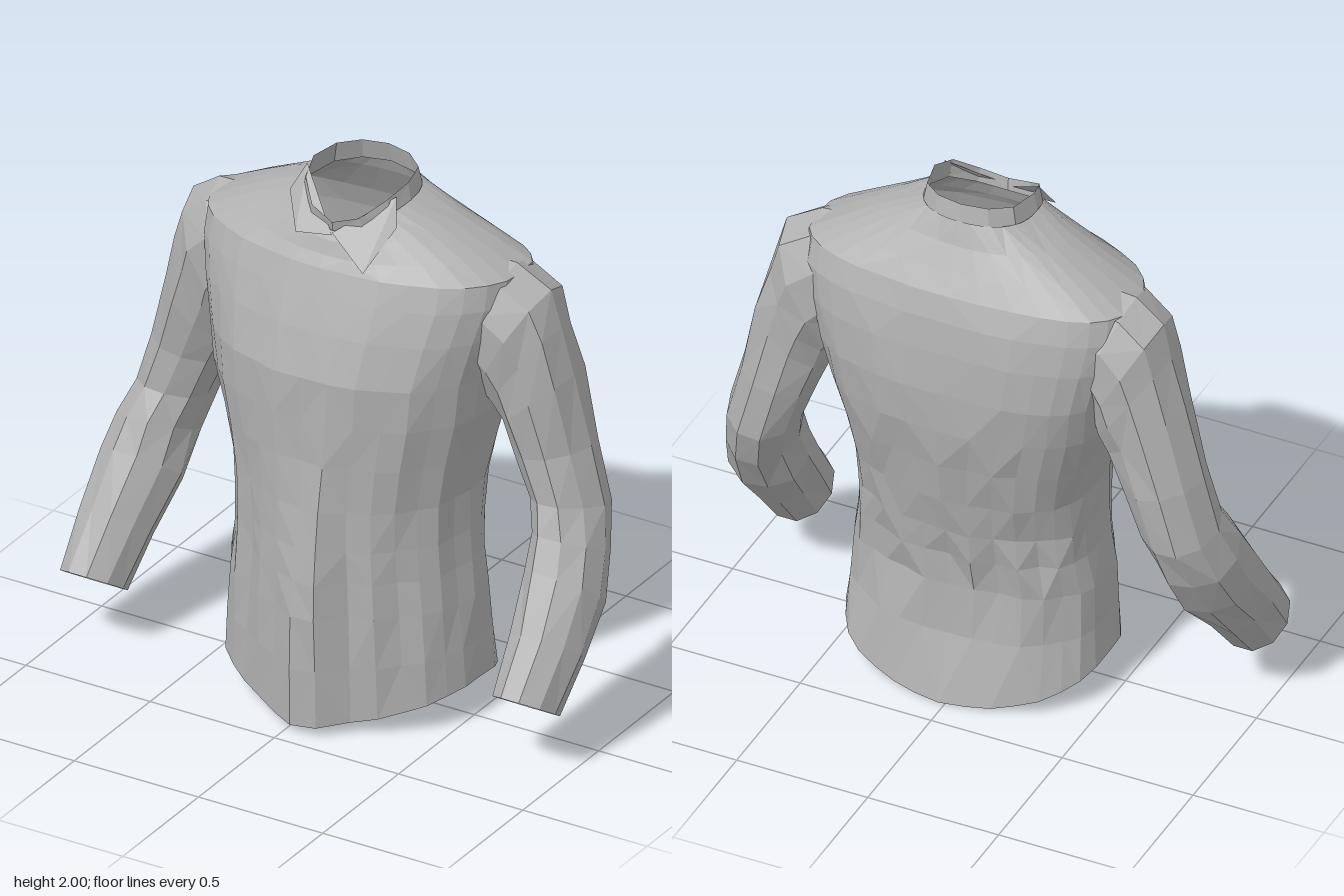
import * as THREE from 'three';

// Small repeatable wobble for crumpled cloth, in -1..1
function wobble(i, j) {
  const s = Math.sin(i * 127.1 + j * 311.7) * 43758.5453;
  return (s - Math.floor(s)) * 2 - 1;
}

// Skin a list of closed rings (each an array of [x, y, z])
function loft(rings, flip) {
  const n = rings[0].length, index = [];
  for (let i = 0; i < rings.length - 1; i++) {
    for (let j = 0; j < n; j++) {
      const a = i * n + j, b = i * n + (j + 1) % n, c = b + n, d = a + n;
      const tris = wobble(i, j) > 0 ? [[a, d, c], [a, c, b]] : [[a, d, b], [d, c, b]];
      for (const t of tris) index.push(...(flip ? t.reverse() : t));
    }
  }
  return facet(rings.flat(), index);
}

function facet(points, index) {
  const g = new THREE.BufferGeometry();
  g.setAttribute('position', new THREE.Float32BufferAttribute(points.flat(), 3));
  g.setIndex(index);
  const flat = g.toNonIndexed();
  flat.computeVertexNormals();
  return flat;
}

// Body ring: right and left x, front and back z, side seam z, fullness of the curve, front and back drop in y
function bodyRing(n, [y, xr, xl, zf, zb, zs, full, dropF = 0, dropB = 0], row, crease = 0) {
  const ring = [];
  for (let j = 0; j < n; j++) {
    const a = (j / n) * Math.PI * 2, s = Math.sin(a), c = Math.cos(a), front = s > 0, m = Math.abs(s);
    const across = front ? c : Math.sign(c) * Math.pow(Math.abs(c), 1 - 0.15 * full);
    let x = (xl + xr) / 2 + across * (xl - xr) / 2;
    let z = zs + (front ? (zf - zs) * Math.pow(m, 1 - 0.22 * full) : (zb - zs) * Math.pow(m, 0.75 - 0.25 * full));
    const yy = y - (front ? dropF * Math.pow(m, 2) : dropB * Math.pow(m, 1.5));
    // Button panel pushes forward towards the hem
    if (front) {
      const panel = THREE.MathUtils.clamp(Math.min((x + 0.14) / 0.12, (0.22 - x) / 0.09), 0, 1);
      z += panel * 0.07 * THREE.MathUtils.clamp((1 - y) / 0.5, 0, 1);
    }
    // Long pleats in front, crumples behind
    const fold = crease * (front ? Math.sin(a * 13 + y * 3) : wobble(row, j));
    z += fold * s;
    x += fold * c * 0.5;
    ring.push([x, yy, z]);
  }
  return ring;
}

export function createModel() {
  const model = new THREE.Group();
  const cloth = new THREE.MeshStandardMaterial({ color: 0xb0b0b0, side: THREE.DoubleSide, flatShading: true });
  cloth.name = 'grey cloth';
  const add = (name, geometry) => {
    const mesh = new THREE.Mesh(geometry, cloth);
    mesh.name = name;
    model.add(mesh);
  };

  // Torso from curved hem to neckline
  const body = [
    [0.14, -0.46, 0.51, 0.365, -0.39, -0.02, 0.1, 0.11, 0.14],
    [0.28, -0.45, 0.50, 0.365, -0.335, -0.02, 0.1, 0.03, 0.03],
    [0.45, -0.44, 0.485, 0.36, -0.31, -0.02, 0.1],
    [0.58, -0.425, 0.47, 0.36, -0.325, -0.03, 0.1],
    [0.70, -0.42, 0.46, 0.36, -0.345, -0.03, 0.1],
    [0.85, -0.425, 0.46, 0.36, -0.375, -0.04, 0.2],
    [1.02, -0.46, 0.49, 0.36, -0.41, -0.05, 0.4],
    [1.18, -0.51, 0.53, 0.355, -0.43, -0.07, 0.7],
    [1.34, -0.53, 0.55, 0.35, -0.434, -0.09, 1],
    [1.50, -0.57, 0.59, 0.30, -0.42, -0.1, 1],
    [1.62, -0.60, 0.62, 0.255, -0.395, -0.11, 0.8],
    [1.71, -0.60, 0.62, 0.22, -0.365, -0.11, 0.5],
    [1.78, -0.47, 0.50, 0.195, -0.32, -0.1, 0.3, 0.03],
    [1.86, -0.31, 0.35, 0.175, -0.27, -0.08, 0.1, 0.06],
    [1.92, -0.18, 0.225, 0.155, -0.235, -0.03, 0, 0.09, -0.02],
  ];
  const creases = [0.006, 0.012, 0.018, 0.018, 0.014, 0.014, 0.012, 0.01, 0.006, 0.005, 0.004, 0.003, 0, 0, 0];
  add('torso', loft(body.map((r, i) => bodyRing(32, r, i, creases[i]))));

  // Standing collar band, low at the throat
  const band = [
    [1.90, -0.185, 0.23, 0.15, -0.237, -0.03, 0, 0.08, -0.02],
    [1.985, -0.165, 0.215, 0.16, -0.215, -0.03, 0, 0.12, -0.015],
  ];
  add('collarBand', loft(band.map((r, i) => bodyRing(12, r, i))));

  // Collar flaps folded down beside the throat
  add('leftCollarFlap', facet(
    [[0.21, 1.96, 0.04], [0.03, 1.83, 0.17], [0.18, 1.73, 0.212], [0.24, 1.87, 0.085]],
    [0, 1, 2, 0, 2, 3]));
  add('rightCollarFlap', facet(
    [[-0.16, 1.98, 0.02], [-0.2, 1.89, 0.07], [-0.11, 1.8, 0.18], [0.03, 1.82, 0.17]],
    [0, 1, 2, 0, 2, 3]));

  // Sleeve rings: centre x, y, z, outward half-axis x, y, forward half-axis y, z
  const sleeve = [
    [0.36, 1.56, -0.11, 0.04, 0.19, 0, 0.17],
    [0.52, 1.53, -0.12, 0.08, 0.21, 0, 0.19],
    [0.61, 1.45, -0.13, 0.12, 0.215, 0, 0.19],
    [0.65, 1.36, -0.135, 0.125, 0.18, 0, 0.175],
    [0.685, 1.24, -0.145, 0.13, 0.11, 0, 0.165],
    [0.735, 1.05, -0.16, 0.14, 0.03, 0.01, 0.16],
    [0.795, 0.86, -0.15, 0.135, 0.01, 0.04, 0.155],
    [0.83, 0.73, -0.10, 0.14, 0, 0.07, 0.15],
    [0.845, 0.59, -0.02, 0.15, 0, 0.1, 0.125],
    [0.86, 0.42, 0.11, 0.137, 0, 0.085, 0.115],
    [0.855, 0.245, 0.24, 0.117, 0, 0.075, 0.115],
  ];
  // The right arm sits slightly in at the shoulder and out at the cuff
  const rightShift = [0, 0, -0.02, -0.03, -0.02, 0, 0, 0, 0, 0.01, 0.03];
  for (const side of [1, -1]) {
    const rings = sleeve.map(([cx, cy, cz, ax, ay, fy, fz], i) => {
      const ring = [], n = 10;
      const shift = side < 0 ? rightShift[i] : 0;
      const rough = i > 2 && i < 10 ? 0.06 : 0;
      for (let j = 0; j < n; j++) {
        const a = (j / n) * Math.PI * 2;
        const k = 1 + rough * wobble(i * 3 + side, j);
        const c = Math.cos(a) * k, s = Math.sin(a) * k;
        ring.push([side * (cx + shift + c * ax), cy + c * ay + s * fy, cz + s * fz]);
      }
      return ring;
    });
    add(side > 0 ? 'leftSleeve' : 'rightSleeve', loft(rings, side > 0));
  }
  return model;
}
